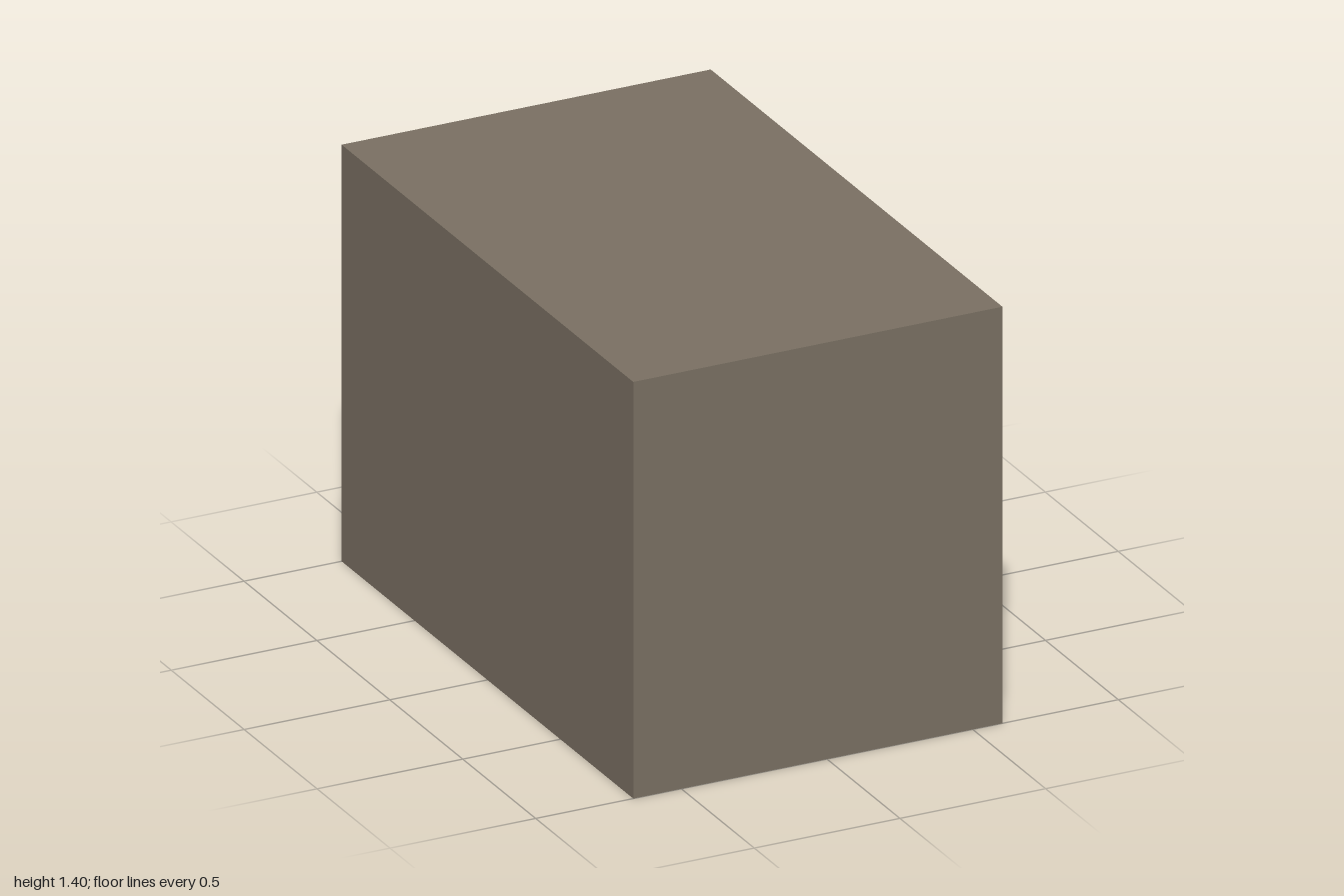
import * as THREE from 'three';

const material = (name, color, extra = {}) => {
  const m = new THREE.MeshStandardMaterial({ color, ...extra });
  m.name = name;
  return m;
};

export function createModel() {
  const tv = new THREE.Group();
  tv.name = 'television';
  const brown = material('cabinet brown', 0x7a7063);
  const black = material('bezel black', 0x0e0e0e);
  const grey = material('screen grey', 0xd2d2d2);
  const blue = material('knob blue', 0x537bd7);
  const yellow = material('grille yellow', 0xd8d274);
  blue.flatShading = true;

  const add = (name, geometry, mat) => {
    const mesh = new THREE.Mesh(geometry, mat);
    mesh.name = name;
    tv.add(mesh);
    return mesh;
  };
  // Panels are drawn facing +z, then turned to face +x (drawn x becomes -z)
  const faceX = (geometry, x) => geometry.rotateY(Math.PI / 2).translate(x, 0, 0);
  const rect = (Type, x0, y0, x1, y1) => {
    const r = new Type();
    r.moveTo(x0, y0).lineTo(x1, y0).lineTo(x1, y1).lineTo(x0, y1).closePath();
    return r;
  };

  // Cabinet: solid rear and a front panel with the screen opening
  const rearX = -0.665, panelX = 0.46, faceAt = 0.602;
  add('cabinet', new THREE.BoxGeometry(panelX - rearX, 1.4, 2)
    .translate((panelX + rearX) / 2, 0.7, 0), brown);
  const panel = rect(THREE.Shape, -1, 0, 1, 1.4);
  panel.holes.push(rect(THREE.Path, -0.92, 0.2, 0.5, 1.245));
  add('frontPanel', faceX(new THREE.ExtrudeGeometry(panel,
    { depth: faceAt - panelX, bevelEnabled: false }), panelX), brown);

  // Screen outline with faceted elliptical corners, paired with the opening's corners
  const inner = [], outer = [], steps = 4;
  for (let q = 0; q < 4; q++) {
    const sx = q === 0 || q === 3 ? 1 : -1, sy = q < 2 ? 1 : -1;
    for (let k = 0; k <= steps; k++) {
      const a = (q + k / steps) * Math.PI / 2;
      inner.push(new THREE.Vector2(
        -0.205 + sx * (0.655 - 0.28) + 0.28 * Math.cos(a),
        0.72 + sy * (0.465 - 0.22) + 0.22 * Math.sin(a)));
      outer.push(new THREE.Vector2(-0.21 + sx * 0.71, 0.7225 + sy * 0.5225));
    }
  }
  add('screen', faceX(new THREE.ShapeGeometry(new THREE.Shape(inner)), 0.48), grey);

  // Bezel slopes from the opening back to the screen
  const positions = [];
  inner.forEach((p, i) => {
    const j = (i + 1) % inner.length;
    const a = [p.x, p.y, 0], b = [inner[j].x, inner[j].y, 0];
    const c = [outer[i].x, outer[i].y, 0.042], d = [outer[j].x, outer[j].y, 0.042];
    positions.push(...a, ...d, ...b);
    if (!outer[i].equals(outer[j])) positions.push(...a, ...c, ...d);
  });
  const bezel = new THREE.BufferGeometry();
  bezel.setAttribute('position', new THREE.Float32BufferAttribute(positions, 3));
  bezel.computeVertexNormals();
  add('bezel', faceX(bezel, 0.48), black);

  // Knobs
  for (const [name, y, z, length] of [
    ['upperKnob', 1.148, -0.848, 0.057], ['lowerKnob', 0.894, -0.71, 0.041]]) {
    add(name, new THREE.CylinderGeometry(0.096, 0.096, length, 16).rotateZ(-Math.PI / 2), blue)
      .position.set(faceAt + length / 2, y, z);
  }

  // Speaker grille with a sawtooth profile
  const teeth = 7, pitch = 0.09;
  const saw = new THREE.Shape();
  saw.moveTo(faceAt, 0.088);
  for (let i = 0; i < teeth; i++) {
    const y = 0.149 + i * pitch;
    saw.lineTo(0.663, y);
    if (i < teeth - 1) saw.lineTo(0.618, y + pitch / 2);
  }
  saw.lineTo(faceAt, 0.75).closePath();
  add('speakerGrille', new THREE.ExtrudeGeometry(saw, { depth: 0.405, bevelEnabled: false })
    .translate(0, 0, -0.968), yellow);

  return tv;
}
